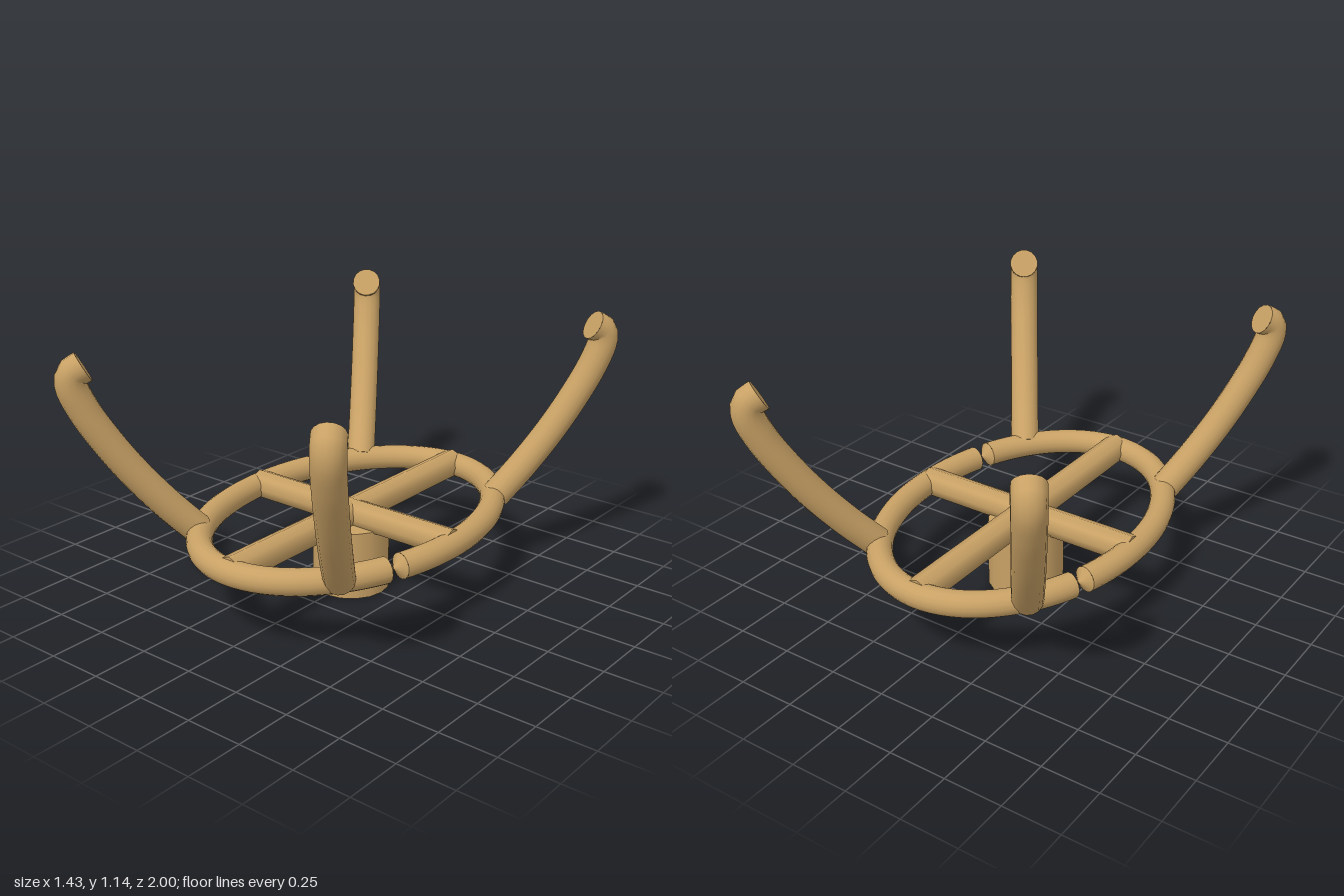
import * as THREE from 'three';

const wood = new THREE.MeshStandardMaterial({ color: 0xc8a165 });
const LEVEL = 0.335; // height of the ring and cross bars
const RING_R = 0.055;
const ARM_R = 0.065;

function add(parent, name, geometry) {
  const mesh = new THREE.Mesh(geometry, wood);
  mesh.name = name;
  parent.add(mesh);
  return mesh;
}

// Disc or cone closing a tube end, pointing along dir
function addEnd(parent, name, radius, height, point, dir) {
  const geometry = height > 0
    ? new THREE.ConeGeometry(radius, height, 16, 1, true).translate(0, height / 2, 0)
    : new THREE.CircleGeometry(radius, 16).rotateX(-Math.PI / 2);
  const end = add(parent, name, geometry);
  end.position.copy(point);
  end.quaternion.setFromUnitVectors(new THREE.Vector3(0, 1, 0), dir);
}

// Part of the oval ring between two angles
class OvalArc extends THREE.Curve {
  constructor(from, to) {
    super();
    this.from = from;
    this.to = to;
  }
  getPoint(t, target = new THREE.Vector3()) {
    const a = this.from + (this.to - this.from) * t;
    return target.set(0.525 * Math.cos(a), LEVEL - 0.005, 0.757 * Math.sin(a));
  }
}

export function createModel() {
  const model = new THREE.Group();
  model.name = 'wheelWithArms';

  // Base post
  const post = add(model, 'post', new THREE.CylinderGeometry(0.167, 0.167, 0.3, 16));
  post.position.y = 0.15;

  // Crossed bars
  const barX = add(model, 'crossBar', new THREE.CylinderGeometry(0.063, 0.063, 1.06, 8));
  barX.rotation.z = Math.PI / 2;
  barX.position.y = LEVEL;
  const barZ = add(model, 'longBar', new THREE.CylinderGeometry(0.063, 0.063, 1.52, 8));
  barZ.rotation.x = Math.PI / 2;
  barZ.position.y = LEVEL;

  // Oval ring: two halves that taper to a point where they meet
  const pinch = 0.445, gap = 0.049;
  for (let i = 0; i < 2; i++) {
    const start = pinch + i * Math.PI;
    const arc = new OvalArc(start + gap, start + Math.PI - gap);
    const half = new THREE.Group();
    half.name = 'ringHalf';
    add(half, 'ringTube', new THREE.TubeGeometry(arc, 48, RING_R, 16, false));
    addEnd(half, 'ringTip', RING_R, 0.036, arc.getPoint(0), arc.getTangent(0).negate());
    addEnd(half, 'ringTip', RING_R, 0.036, arc.getPoint(1), arc.getTangent(1));
    model.add(half);
  }

  // Four curved arms; each profile point is [outward fraction, height]
  const profile = [[0, 0.335], [0.26, 0.465], [0.53, 0.62], [0.75, 0.77], [0.91, 0.9], [1, 1.01], [0.985, 1.055], [0.89, 1.08]];
  for (const sx of [-1, 1]) {
    for (const sz of [-1, 1]) {
      const path = new THREE.CatmullRomCurve3(profile.map(([t, y]) =>
        new THREE.Vector3(sx * (0.38 + 0.272 * t), y, sz * (0.545 + 0.39 * t))));
      const arm = new THREE.Group();
      arm.name = (sz > 0 ? 'front' : 'back') + (sx > 0 ? 'Left' : 'Right') + 'Arm';
      add(arm, 'armTube', new THREE.TubeGeometry(path, 40, ARM_R, 16, false));
      addEnd(arm, 'armFoot', ARM_R, 0, path.getPoint(0), path.getTangent(0).negate());
      addEnd(arm, 'armTip', ARM_R, 0, path.getPoint(1), path.getTangent(1));
      model.add(arm);
    }
  }
  return model;
}
